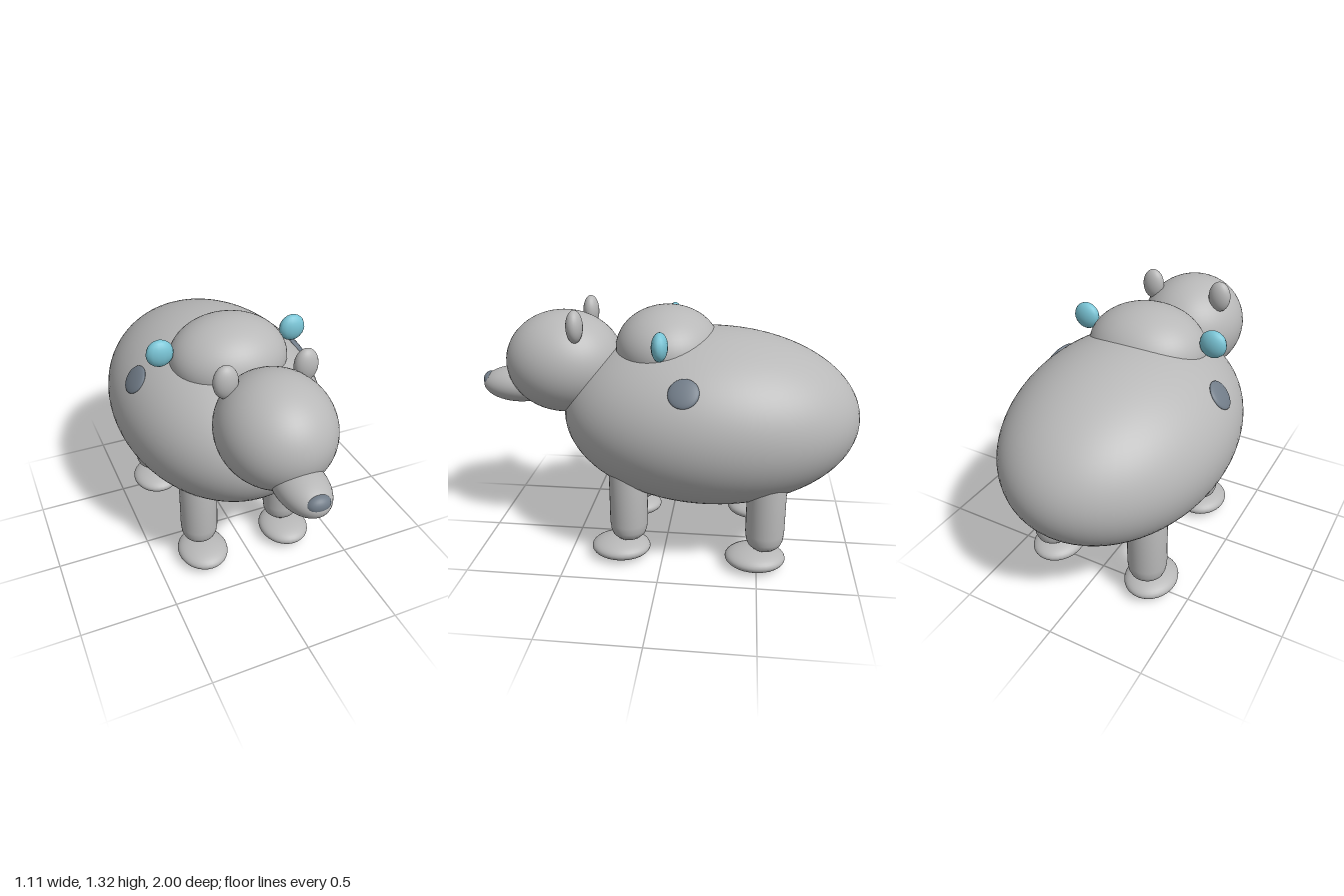
import * as THREE from 'three';

export function createModel() {
  const model = new THREE.Group();
  model.name = 'bear';

  const fur = new THREE.MeshStandardMaterial({ name: 'grey fur', color: 0xb8b8b8 });
  const slate = new THREE.MeshStandardMaterial({ name: 'slate', color: 0x717c88 });
  const blue = new THREE.MeshStandardMaterial({ name: 'light blue', color: 0x7ac5d6 });

  // Ellipsoid from centre and radii
  function ellipsoid(name, material, pos, radii, w = 48, h = 32) {
    const geometry = new THREE.SphereGeometry(1, w, h).scale(...radii);
    const mesh = new THREE.Mesh(geometry, material);
    mesh.name = name;
    mesh.position.set(...pos);
    model.add(mesh);
    return mesh;
  }

  // Torso, shoulder hump, head and muzzle
  ellipsoid('body', fur, [0, 0.745, -0.225], [0.555, 0.46, 0.775], 64, 48);
  ellipsoid('shoulderHump', fur, [0, 1.1, 0], [0.305, 0.215, 0.268]);
  ellipsoid('head', fur, [0, 1.01, 0.545], [0.28, 0.268, 0.31]);
  ellipsoid('snout', fur, [0, 0.875, 0.8], [0.12, 0.097, 0.2]);
  ellipsoid('nose', slate, [0, 0.895, 0.96], [0.058, 0.042, 0.04], 24, 16);

  // Leg outline: straight column with a rounded lower end
  const legProfile = [[0, 0.11], [0.04, 0.114], [0.065, 0.125], [0.085, 0.145],
    [0.095, 0.17], [0.1, 0.21], [0.1, 0.5], [0.07, 0.57], [0, 0.6]]
    .map(([r, y]) => new THREE.Vector2(r, y));
  const legGeometry = new THREE.LatheGeometry(legProfile, 32);

  for (const [side, s] of [['left', 1], ['right', -1]]) {
    ellipsoid(side + 'Ear', fur, [s * 0.197, 1.238, 0.44], [0.06, 0.082, 0.042], 24, 16);
    ellipsoid(side + 'ShoulderOrb', blue, [s * 0.355, 1.19, 0], [0.07, 0.07, 0.04], 14, 12);

    // Flank spot lying along the body surface
    const spot = ellipsoid(side + 'FlankSpot', slate, [s * 0.455, 1.0, -0.122], [0.075, 0.075, 0.018], 24, 16);
    const normal = new THREE.Vector3(s * 1.48, 1.205, 0.175).normalize();
    spot.quaternion.setFromUnitVectors(new THREE.Vector3(0, 0, 1), normal);

    // Legs with flat oval paws
    for (const [end, x, z, pawZ] of [['Front', 0.247, 0.18, 0.225], ['Rear', 0.285, -0.535, -0.49]]) {
      const leg = new THREE.Mesh(legGeometry, fur);
      leg.name = side + end + 'Leg';
      leg.position.set(s * x, 0, z);
      model.add(leg);
      ellipsoid(side + end + 'Paw', fur, [s * x, 0.058, pawZ], [0.135, 0.056, 0.157], 32, 20);
    }
  }
  return model;
}
